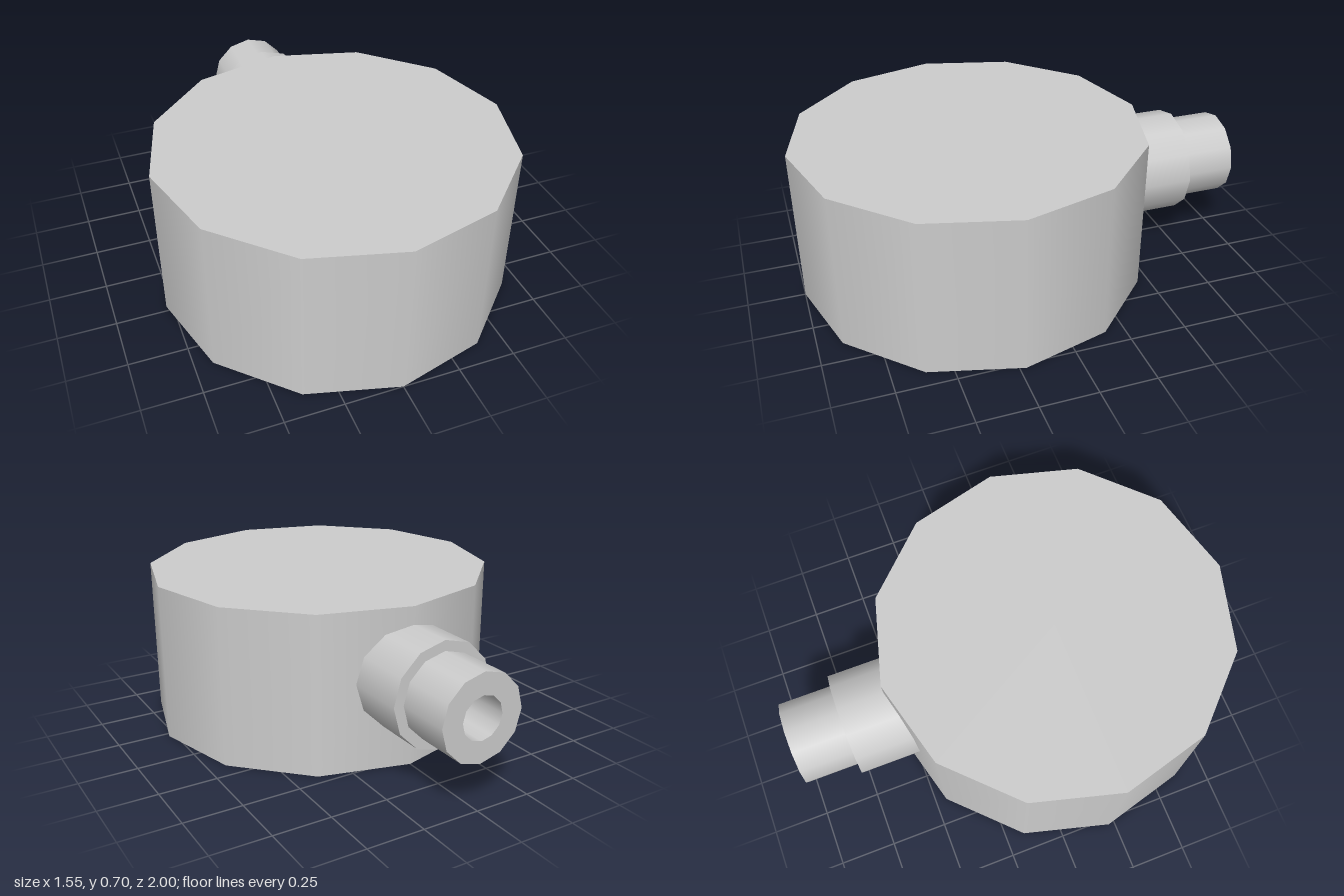
import * as THREE from 'three';

const SIDES = 12;
const BODY_R = 0.777, BODY_H = 0.7, BODY_Z = 0.223;
const AXIS_Y = 0.39;

export function createModel() {
  const model = new THREE.Group();
  const grey = new THREE.MeshStandardMaterial({ color: 0xcccccc, side: THREE.DoubleSide });

  function add(parent, name, geometry) {
    const mesh = new THREE.Mesh(geometry, grey);
    mesh.name = name;
    parent.add(mesh);
    return mesh;
  }

  // Thin cap, open underneath
  const cap = new THREE.Group();
  cap.name = 'cap';
  cap.position.z = BODY_Z;
  model.add(cap);
  add(cap, 'capWall', new THREE.CylinderGeometry(BODY_R, BODY_R, BODY_H, SIDES, 1, true)).position.y = BODY_H / 2;
  add(cap, 'capTop', new THREE.CircleGeometry(BODY_R, SIDES).rotateX(-Math.PI / 2)).position.y = BODY_H;

  // Stepped hollow nozzle pointing backwards
  const nozzle = new THREE.Group();
  nozzle.name = 'nozzle';
  nozzle.position.y = AXIS_Y;
  model.add(nozzle);

  const tube = (name, r, z0, z1) =>
    add(nozzle, name, new THREE.CylinderGeometry(r, r, z0 - z1, SIDES, 1, true).rotateX(-Math.PI / 2))
      .position.z = (z0 + z1) / 2;
  const ring = (name, inner, outer, z) =>
    add(nozzle, name, new THREE.RingGeometry(inner, outer, SIDES).rotateY(Math.PI)).position.z = z;

  tube('collar', 0.232, -0.48, -0.76);
  ring('collarStep', 0.187, 0.232, -0.76);
  tube('spout', 0.187, -0.76, -1);
  ring('spoutRim', 0.093, 0.187, -1);
  tube('bore', 0.093, -0.48, -1);

  return model;
}
